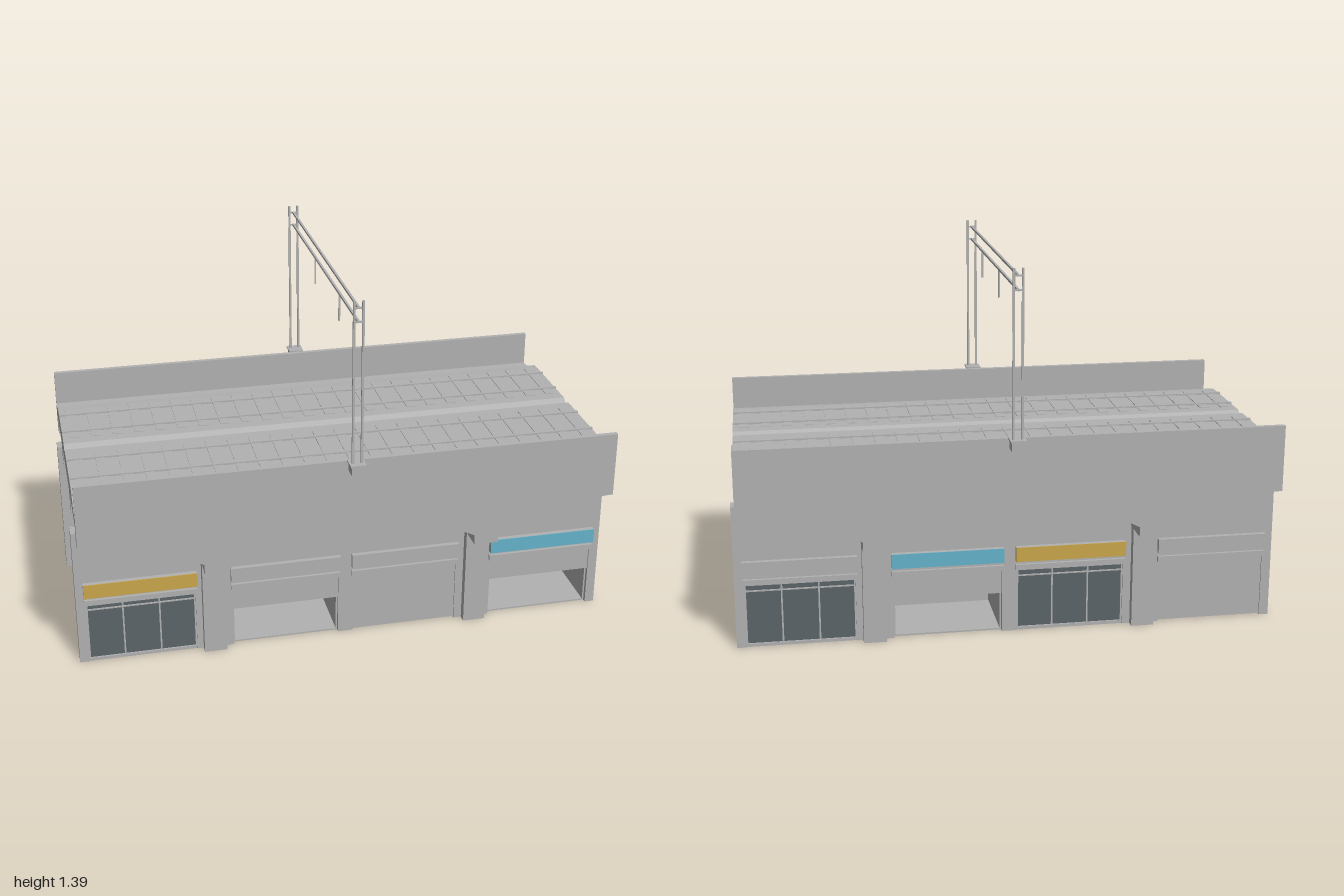
import * as THREE from 'three';

const mat = (name, color) => {
  const m = new THREE.MeshStandardMaterial({ color });
  m.name = name;
  return m;
};

export function createModel() {
  const concrete = mat('concrete grey', 0xb2b2b2);
  const glass = mat('dark glass', 0x5c6569);
  const yellow = mat('yellow sign', 0xcaa74a);
  const blue = mat('blue sign', 0x66b3cc);
  const model = new THREE.Group();
  model.name = 'railwayViaduct';

  const add = (parent, name, geometry, material = concrete) => {
    const mesh = new THREE.Mesh(geometry, material);
    mesh.name = name;
    parent.add(mesh);
    return mesh;
  };
  // box given by its minimum and maximum on each axis
  const box = (parent, name, [x0, x1], [y0, y1], [z0, z1], material) => {
    const g = new THREE.BoxGeometry(x1 - x0, y1 - y0, z1 - z0);
    g.translate((x0 + x1) / 2, (y0 + y1) / 2, (z0 + z1) / 2);
    return add(parent, name, g, material);
  };
  const extrude = (points, depth) => new THREE.ExtrudeGeometry(
    new THREE.Shape(points.map(p => new THREE.Vector2(...p))),
    { depth, bevelEnabled: false });

  const L = 0.985; // half length of the deck
  const piers = [-0.5, 0.5];

  // Deck slab with ballast bed, extruded along x
  const half = [[0.5, 0.61], [0.5, 0.655], [0.435, 0.655], [0.372, 0.694], [0.33, 0.697], [0.025, 0.697]];
  const section = [...half, [0, 0.678], ...half.map(([z, y]) => [-z, y]).reverse()];
  add(model, 'deckAndBallast', extrude(section, 2 * L).translate(0, 0, -L).rotateY(-Math.PI / 2));

  // Arched ribs: half arch, full span and half arch between the piers
  const arch = [[0, 0.538], [0.13, 0.532], [0.27, 0.515], [0.36, 0.475], [0.455, 0.428], [0.455, 0.39]];
  const right = [...arch, ...arch.slice(1).reverse().map(([x, y]) => [1 - x, y]), [L, 0.538]];
  const under = [...right.slice(1).reverse().map(([x, y]) => [-x, y]), ...right];
  const rib = (name, top, z0, z1) =>
    add(model, name, extrude([...under, [L, top], [-L, top]], z1 - z0).translate(0, 0, z0));
  for (const s of [-1, 1]) {
    rib('innerRib', 0.62, s * 0.2025 - 0.0275, s * 0.2025 + 0.0275);
    rib('outerRib', 0.654, s * 0.489 - 0.026, s * 0.489 + 0.026);
    box(model, 'parapet', [-L, L], [0.654, 0.785], s > 0 ? [0.497, 0.515] : [-0.515, -0.497]);
  }
  for (const x of piers)
    box(model, 'crossbeam', [x - 0.045, x + 0.045], [0.39, 0.63], [-0.514, 0.514]);

  // Tracks
  for (const s of [-1, 1]) {
    for (const z of [0.122, 0.275])
      box(model, 'rail', [-L, L], [0.694, 0.704], [s * z - 0.005, s * z + 0.005]);
    for (let i = 0; i < 24; i++) {
      const x = -0.943 + i * 0.082;
      box(model, 'sleeper', [x - 0.018, x + 0.018], [0.69, 0.6995], [s * 0.2 - 0.13, s * 0.2 + 0.13]);
    }
  }

  // Shop fronts under the arches
  const bayX = [-0.765, -0.228, 0.228, 0.765];
  const W = 0.2, H = 0.24;
  const facade = (name, bays) => {
    const g = new THREE.Group();
    g.name = name;
    const outline = [[1, 0.538], [-1, 0.538], [-1, 0]];
    for (const x of bayX) outline.push([x - W, 0], [x - W, H], [x + W, H], [x + W, 0]);
    outline.push([1, 0]);
    add(g, 'shopWall', extrude(outline, 0.018).translate(0, 0, 0.367));

    for (const s of [-1, 1]) {
      box(g, 'endPilaster', s > 0 ? [0.97, 1] : [-1, -0.97], [0, 0.538], [0.33, 0.385]);
      box(g, 'column', [s * 0.5 - 0.042, s * 0.5 + 0.042], [0, 0.39], [0.33, 0.415]);
    }

    bays.forEach(([kind, sign], i) => {
      const x = bayX[i], span = [x - W, x + W], wide = [x - 0.206, x + 0.206];
      box(g, 'signBoard', wide, [0.278, 0.333], [0.38, 0.403]);
      if (sign) box(g, 'signFace', wide, [0.278, 0.333], [0.403, 0.406], sign);
      box(g, 'ledge', wide, [0.242, 0.263], [0.38, 0.396]);

      if (kind === 'glass') {
        box(g, 'shopGlass', span, [0.012, H], [0.369, 0.376], glass);
        box(g, 'sill', span, [0, 0.012], [0.367, 0.382]);
        box(g, 'transom', span, [0.212, 0.217], [0.374, 0.38]);
        for (const m of [-0.197, -0.067, 0.067, 0.197])
          box(g, 'mullion', [x + m - 0.003, x + m + 0.003], [0.012, H], [0.374, 0.38]);
      } else {
        box(g, 'shutter', span, [kind === 'open' ? 0.15 : 0.004, H], [0.37, 0.38]);
      }

      // Hollow room behind the opening
      if (kind !== 'closed') {
        const t = 0.006, back = 0.09, z = [back, 0.37];
        box(g, 'roomFloor', span, [0, t], z);
        box(g, 'roomCeiling', span, [0.25 - t, 0.25], z);
        box(g, 'roomBack', span, [0, 0.25], [back, back + t]);
        box(g, 'roomSide', [x - W, x - W + t], [0, 0.25], z);
        box(g, 'roomSide', [x + W - t, x + W], [0, 0.25], z);
      }
    });
    model.add(g);
    return g;
  };
  facade('frontFacade', [['glass', yellow], ['open'], ['closed'], ['open', blue]]);
  facade('backFacade', [['glass'], ['open', blue], ['glass', yellow], ['closed']]).rotation.y = Math.PI;

  // Overhead line gantry
  const gantry = new THREE.Group();
  gantry.name = 'gantry';
  for (const s of [-1, 1]) {
    const zs = (a, b) => s > 0 ? [a, b] : [-b, -a];
    box(gantry, 'bracket', [-0.024, 0.024], [0.75, 0.784], zs(0.51, 0.567));
    box(gantry, 'bracketPlate', [-0.029, 0.029], [0.784, 0.79], zs(0.513, 0.573));
    for (const x of [-0.016, 0.016])
      box(gantry, 'mast', [x - 0.004, x + 0.004], [0.785, 1.393], zs(0.545, 0.553));
    for (const y of [1.317, 1.367])
      box(gantry, 'mastTie', [-0.016, 0.016], [y - 0.003, y + 0.003], zs(0.546, 0.552));
  }
  for (const y of [1.317, 1.367])
    box(gantry, 'gantryBeam', [-0.004, 0.004], [y - 0.004, y + 0.004], [-0.55, 0.55]);
  for (const z of [0.26, -0.14])
    box(gantry, 'dropper', [-0.003, 0.003], [1.212, 1.317], [z - 0.003, z + 0.003]);
  model.add(gantry);

  return model;
}
